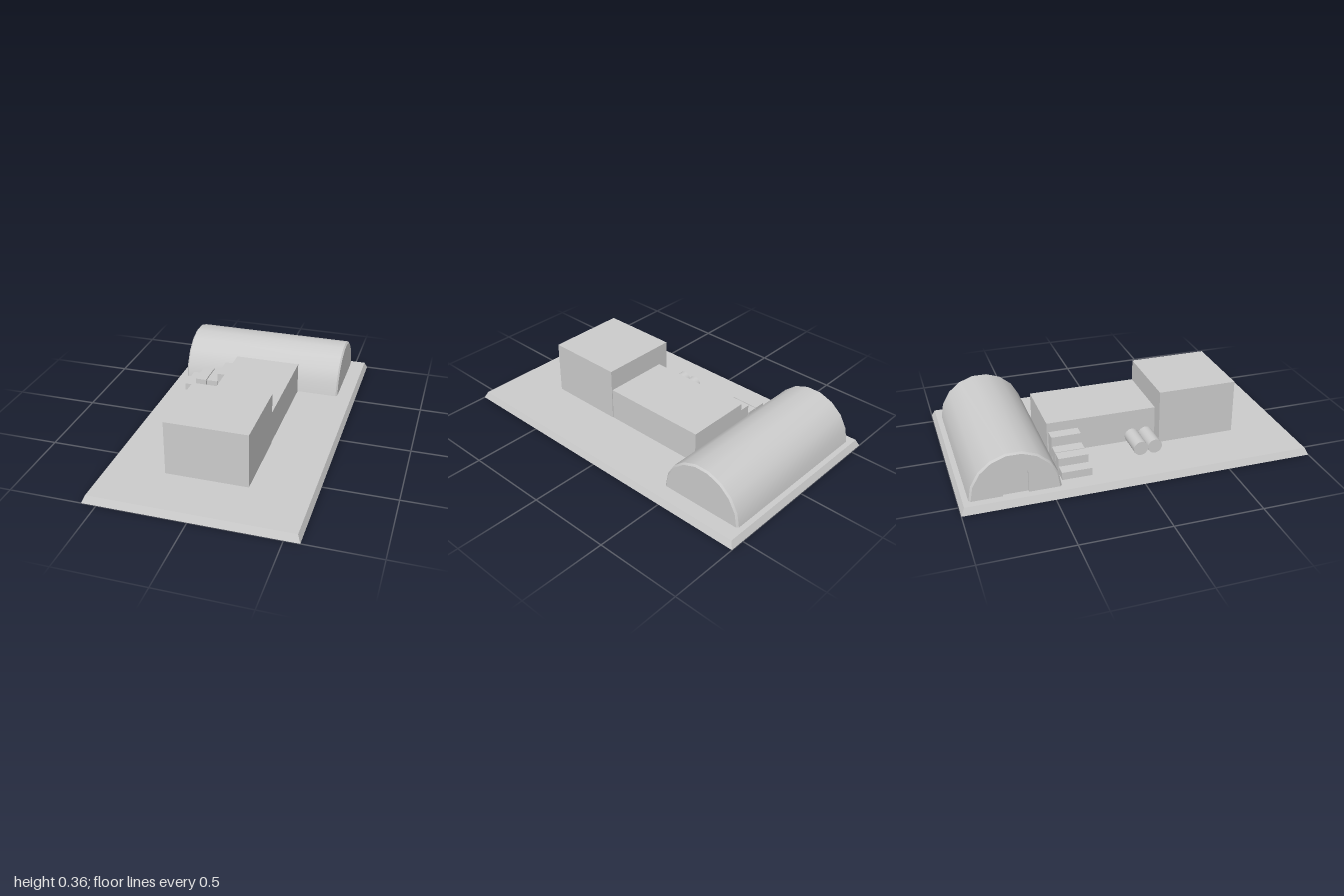
import * as THREE from 'three';
import { toCreasedNormals } from 'three/addons/utils/BufferGeometryUtils.js';

const GROUND = 0.04;

export function createModel() {
  const model = new THREE.Group();
  const material = new THREE.MeshStandardMaterial({ color: 0xcccccc });
  const openMaterial = new THREE.MeshStandardMaterial({ color: 0xcccccc, side: THREE.DoubleSide });

  const add = (name, geometry, parent = model, mat = material) => {
    const mesh = new THREE.Mesh(geometry, mat);
    mesh.name = name;
    parent.add(mesh);
    return mesh;
  };
  // Box given by its extents, min to max on each axis
  const block = (name, x0, x1, y0, y1, z0, z1, parent) => {
    const geometry = new THREE.BoxGeometry(x1 - x0, y1 - y0, z1 - z0);
    geometry.translate((x0 + x1) / 2, (y0 + y1) / 2, (z0 + z1) / 2);
    return add(name, geometry, parent);
  };

  // Base slab with sloped edges
  const base = block('base', -0.585, 0.585, 0, GROUND, -1, 1);
  const p = base.geometry.attributes.position;
  for (let i = 0; i < p.count; i++) {
    if (p.getY(i) > GROUND / 2) {
      p.setX(i, p.getX(i) - Math.sign(p.getX(i)) * 0.017);
      p.setZ(i, p.getZ(i) - Math.sign(p.getZ(i)) * 0.019);
    }
  }
  base.geometry.computeVertexNormals();

  // Main buildings
  block('frontBuilding', -0.243, 0.228, GROUND, 0.36, 0.207, 0.67);
  block('middleBuilding', -0.175, 0.225, GROUND, 0.235, -0.442, 0.204);

  // Arched hangar: half-round roof with chamfered ends
  const hangar = new THREE.Group();
  hangar.name = 'hangar';
  hangar.position.set(0, GROUND, -0.7);
  model.add(hangar);
  const left = 0.48, right = -0.525, chamfer = 0.01, radius = 0.25;
  const profile = [
    [radius - chamfer, right], [radius, right + chamfer],
    [radius, left - chamfer], [radius - chamfer, left],
  ].map(([r, x]) => new THREE.Vector2(r, x));
  const roof = new THREE.LatheGeometry(profile, 9, Math.PI, Math.PI);
  roof.rotateZ(-Math.PI / 2);
  add('hangarRoof', toCreasedNormals(roof, 0.5), hangar, openMaterial);

  // End walls; the right one is notched for a doorway
  const doorMin = -0.07, doorMax = 0.07, doorHeight = 0.13, wall = 0.014;
  const endWall = (name, x, hasDoor) => {
    const shape = new THREE.Shape();
    for (let i = 0; i <= 9; i++) {
      const a = (i / 9) * Math.PI, r = radius - chamfer;
      shape[i ? 'lineTo' : 'moveTo'](Math.cos(a) * r, Math.sin(a) * r);
    }
    if (hasDoor) {
      shape.lineTo(doorMin, 0).lineTo(doorMin, doorHeight);
      shape.lineTo(doorMax, doorHeight).lineTo(doorMax, 0);
    }
    const geometry = new THREE.ExtrudeGeometry(shape, { depth: wall, bevelEnabled: false });
    geometry.rotateY(Math.PI / 2);
    geometry.translate(x, 0, 0);
    add(name, geometry, hangar);
  };
  endWall('hangarLeftWall', left - wall, false);
  endWall('hangarRightWall', right, true);
  block('hangarDoor', right + wall, right + wall + 0.01, 0, doorHeight, doorMin, doorMax, hangar);

  // Row of crates stepping up towards the middle building
  [0.085, 0.13, 0.13, 0.185].forEach((top, i) => {
    const x = -0.469 + i * 0.0725;
    block('crate' + (i + 1), x, x + 0.067, GROUND, top, -0.435, -0.265);
  });

  // Pair of tanks lying beside the middle building
  [0.059, 0.143].forEach((z, i) => {
    const tank = new THREE.CylinderGeometry(0.042, 0.042, 0.165, 24);
    tank.rotateZ(Math.PI / 2);
    tank.translate(-0.268, GROUND + 0.042, z);
    add('tank' + (i + 1), tank);
  });

  return model;
}
